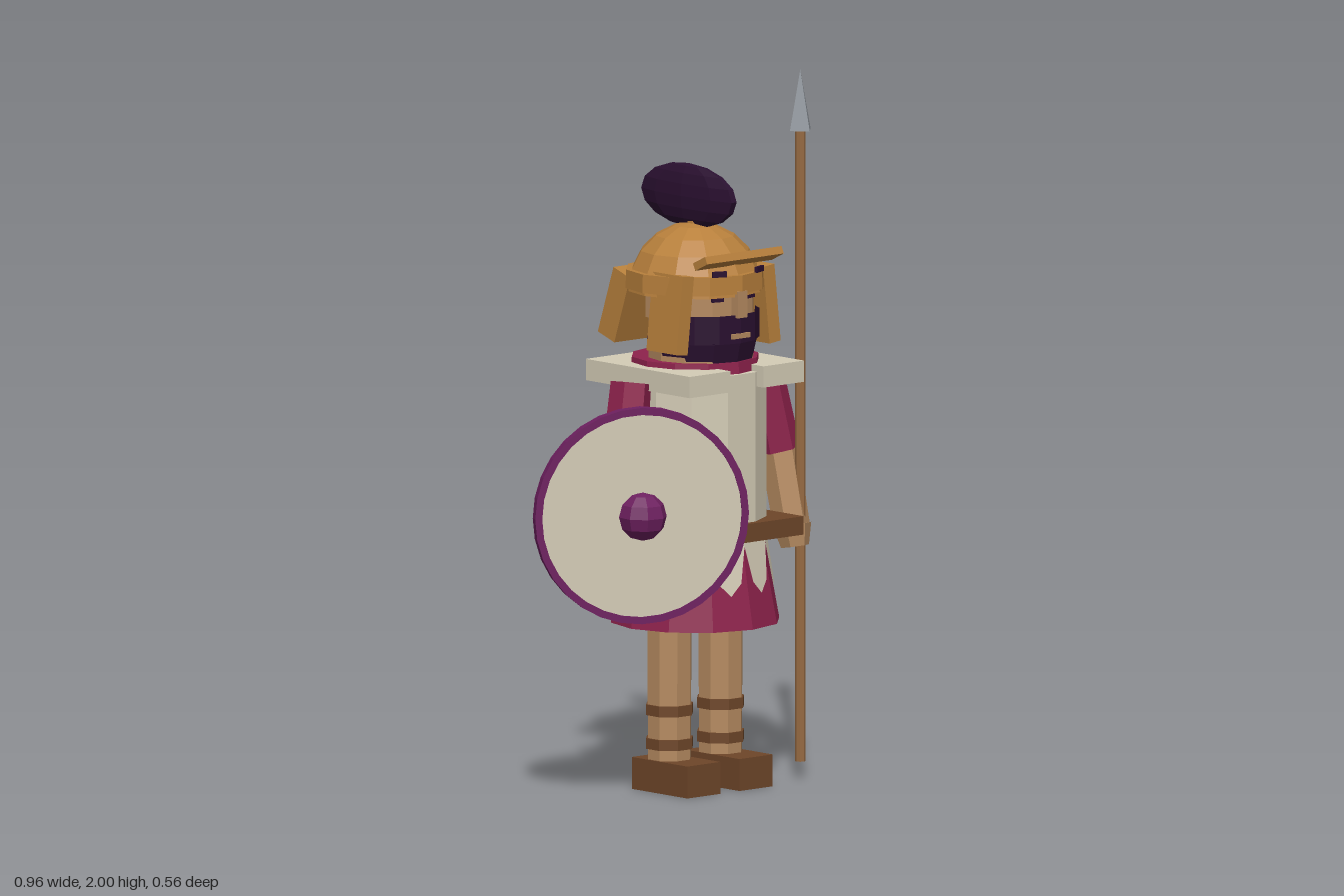
import * as THREE from 'three';

const mat = (name, color, side = THREE.FrontSide) => {
  const m = new THREE.MeshStandardMaterial({ color, flatShading: true, side });
  m.name = name;
  return m;
};

export function createModel() {
  const bronze = mat('bronze', 0xb8803c);
  const dark = mat('dark hair', 0x2a1030, THREE.DoubleSide);
  const crimson = mat('crimson cloth', 0x8e224c);
  const linen = mat('linen', 0xd4ccb6, THREE.DoubleSide);
  const leather = mat('brown leather', 0x6e4629);
  const skin = mat('skin', 0xb58a60);
  const purple = mat('purple', 0x6e2060);
  const steel = mat('steel', 0x8f959c);
  const wood = mat('spear wood', 0x966a42);

  const model = new THREE.Group();
  model.name = 'soldier';
  // The body stands a little off centre; its parts are placed around its own axis
  const body = new THREE.Group();
  body.name = 'body';
  body.position.set(0.13, 0, -0.035);
  model.add(body);

  const add = (name, geo, material, x = 0, y = 0, z = 0, parent = body) => {
    const m = new THREE.Mesh(geo, material);
    m.name = name;
    m.position.set(x, y, z);
    parent.add(m);
    return m;
  };
  const box = (w, h, d) => new THREE.BoxGeometry(w, h, d);
  const cyl = (top, bottom, h, n = 12) => new THREE.CylinderGeometry(top, bottom, h, n);
  // Tapered limb between two points
  const limb = (name, a, b, ra, rb, n, material) => {
    const p = new THREE.Vector3(...a), q = new THREE.Vector3(...b);
    const m = add(name, cyl(ra, rb, p.distanceTo(q), n), material);
    m.position.copy(p).lerp(q, 0.5);
    m.quaternion.setFromUnitVectors(new THREE.Vector3(0, 1, 0), p.sub(q).normalize());
  };

  // Legs, sandals and arms
  for (const s of [-1, 1]) {
    const side = s > 0 ? 'left' : 'right';
    add(side + 'Leg', cyl(0.066, 0.063, 0.46, 8).rotateY(Math.PI / 8), skin, s * 0.096, 0.3, 0);
    for (const y of [0.135, 0.23]) {
      add(side + 'LegStrap', cyl(0.069, 0.069, 0.03, 8).rotateY(Math.PI / 8), leather, s * 0.096, y, 0);
    }
    add(side + 'Foot', box(0.124, 0.09, 0.23), leather, s * 0.098, 0.045, 0.03);
    limb(side + 'Sleeve', [s * 0.245, 1.165, 0.005], [s * 0.29, 0.925, 0.022], 0.058, 0.065, 6, crimson);
    limb(side + 'Forearm', [s * 0.287, 0.97, 0.02], [s * 0.298, 0.7, 0.075], 0.056, 0.052, 6, skin);
    limb(side + 'Hand', [s * 0.298, 0.715, 0.074], [s * 0.299, 0.655, 0.085], 0.055, 0.04, 6, skin);
  }

  // Tunic skirt
  const skirtTop = 0.73, skirtBottom = 0.47;
  add('skirt', cyl(0.192, 0.24, skirtTop - skirtBottom), crimson, 0, 0.6, 0);

  // Pointed linen strips, one on each flat of the skirt
  const pos = [];
  const on = (i, u, y) => {
    const t = (skirtTop - y) / (skirtTop - skirtBottom);
    const r = 0.2 + 0.046 * t;
    const a = (i * Math.PI) / 6, b = ((i + 1) * Math.PI) / 6;
    return [r * THREE.MathUtils.lerp(Math.sin(a), Math.sin(b), u), y,
      r * THREE.MathUtils.lerp(Math.cos(a), Math.cos(b), u)];
  };
  for (let i = 0; i < 12; i++) {
    const p = [[0, 0.73], [0, 0.7], [0.2, 0.6], [0.5, 0.565], [0.8, 0.6], [1, 0.7], [1, 0.73]]
      .map(([u, y]) => on(i, u, y));
    for (let k = 1; k < 6; k++) pos.push(...p[0], ...p[k], ...p[k + 1]);
  }
  const strips = new THREE.BufferGeometry();
  strips.setAttribute('position', new THREE.Float32BufferAttribute(pos, 3));
  strips.computeVertexNormals();
  add('skirtStrips', strips, linen);

  // Cuirass, belt and shoulder yoke
  add('cuirass', cyl(0.2, 0.2, 0.46).rotateY(Math.PI / 12), linen, 0, 0.955, 0);
  add('belt', box(0.43, 0.052, 0.43), leather, 0, 0.738, -0.002);
  const yoke = new THREE.Shape([[-0.215, -0.215], [-0.062, -0.215], [-0.062, 0.1], [0.062, 0.1],
    [0.062, -0.215], [0.215, -0.215], [0.215, 0.215], [-0.215, 0.215]].map(p => new THREE.Vector2(...p)));
  add('shoulderYoke', new THREE.ExtrudeGeometry(yoke, { depth: 0.06, bevelEnabled: false })
    .rotateX(-Math.PI / 2), linen, 0, 1.143, 0);
  add('collar', cyl(0.18, 0.185, 0.05), crimson, 0, 1.193, 0);

  // Head, ears, nose and beard
  add('head', cyl(0.15, 0.15, 0.26), skin, 0, 1.33, 0.025);
  add('beardBase', cyl(0.158, 0.14, 0.08), dark, 0, 1.235, 0.03);
  add('beard', new THREE.CylinderGeometry(0.158, 0.158, 0.08, 8, 1, true, -Math.PI * 0.56, Math.PI * 1.12),
    dark, 0, 1.312, 0.032);
  add('mouth', box(0.066, 0.014, 0.008), skin, 0, 1.293, 0.189);
  add('nose', box(0.034, 0.075, 0.04), skin, 0, 1.382, 0.178);
  for (const s of [-1, 1]) {
    add('eye', box(0.036, 0.018, 0.008), dark, s * 0.062, 1.4, 0.162).rotation.y = s * 0.27;
    add('ear', box(0.03, 0.06, 0.035), skin, s * 0.155, 1.37, 0);
    add('helmetEyeSlot', box(0.042, 0.016, 0.009), dark, s * 0.075, 1.473, 0.184).rotation.y = s * 0.4;
  }

  // Helmet
  add('helmetDome', new THREE.SphereGeometry(0.19, 12, 5, 0, Math.PI * 2, 0, Math.PI / 2), bronze, 0, 1.403, 0);
  add('helmetBand', cyl(0.196, 0.198, 0.052), bronze, 0, 1.438, 0);
  const visor = add('visor', box(0.288, 0.022, 0.055), bronze, 0, 1.51, 0.18);
  visor.rotation.x = -0.45;
  const guard = add('neckGuard', box(0.325, 0.2, 0.072), bronze, 0, 1.357, -0.157);
  guard.rotation.x = 0.33;
  for (const s of [-1, 1]) {
    const cheek = add('cheekGuard', box(0.042, 0.22, 0.125), bronze, s * 0.163, 1.36, 0.077);
    cheek.rotation.z = s * 0.11;
  }
  add('crestHolder', cyl(0.018, 0.025, 0.05, 6), bronze, 0, 1.59, 0);
  const crest = add('crest', new THREE.SphereGeometry(1, 10, 8), dark, 0, 1.665, -0.025);
  crest.scale.set(0.031, 0.09, 0.197);

  // Spear
  add('spearShaft', cyl(0.015, 0.015, 1.8, 8), wood, 0.437, 0.95, 0.063, model);
  add('spearHead', new THREE.ConeGeometry(0.039, 0.17, 4), steel, 0.437, 1.915, 0.063, model);

  // Round shield, turned outward
  const shield = new THREE.Group();
  shield.name = 'shield';
  shield.position.set(-0.214, 0.82, 0.12);
  shield.rotation.y = -0.515;
  model.add(shield);
  add('shieldFace', cyl(0.29, 0.29, 0.024, 16).rotateX(Math.PI / 2), linen, 0, 0, 0, shield);
  const ring = new THREE.Shape().absarc(0, 0, 0.305, 0, Math.PI * 2);
  ring.holes.push(new THREE.Path().absarc(0, 0, 0.285, 0, Math.PI * 2, true));
  add('shieldRim', new THREE.ExtrudeGeometry(ring, { depth: 0.032, bevelEnabled: false, curveSegments: 16 }),
    purple, 0, 0, -0.016, shield);
  add('shieldBoss', new THREE.SphereGeometry(0.068, 8, 6), purple, 0, 0, 0.025, shield);

  return model;
}
